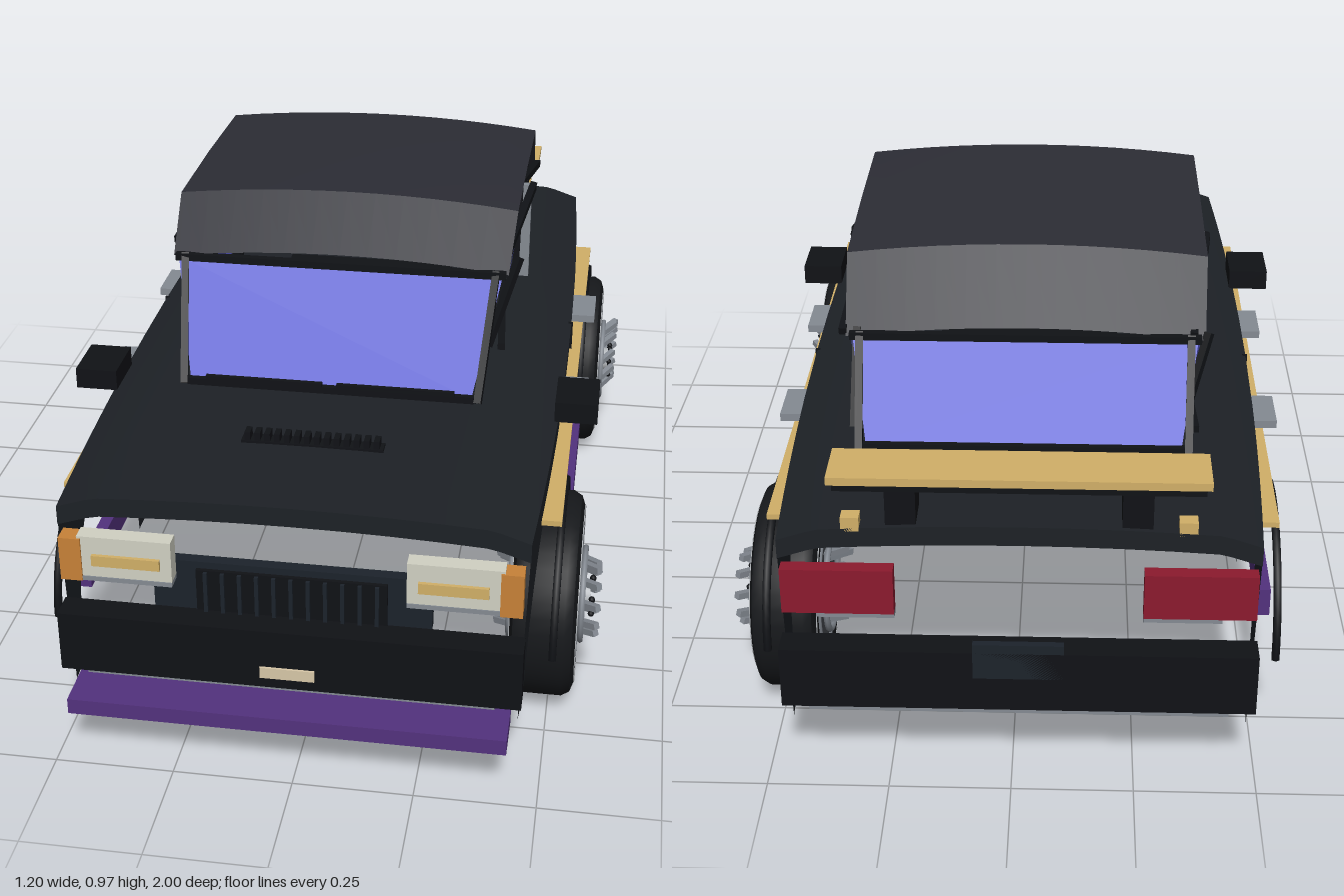
import * as THREE from 'three';
import { toCreasedNormals } from 'three/addons/utils/BufferGeometryUtils.js';

const mat = (color, side = THREE.FrontSide) => new THREE.MeshStandardMaterial({ color, side });
const paint = mat(0x1d2126, THREE.DoubleSide), roofPaint = mat(0x2c2d35, THREE.DoubleSide);
const black = mat(0x101216), panelGrey = mat(0x1c232b), glass = mat(0x5c60d2, THREE.DoubleSide);
const gold = mat(0xd2b068), purple = mat(0x53327e), steel = mat(0x858b93), silver = mat(0xb4b8bc);
const red = mat(0x8c1a2e), amber = mat(0xc88238), lens = mat(0xd2d2c4), cream = mat(0xd8c8a8);
const V = (x, y, z) => new THREE.Vector3(x, y, z);

function add(parent, name, geo, material) {
  const m = new THREE.Mesh(geo, material);
  m.name = name;
  parent.add(m);
  return m;
}

// Box given by its ranges on each axis
function box(parent, name, material, x0, x1, y0, y1, z0, z1) {
  const m = add(parent, name, new THREE.BoxGeometry(Math.abs(x1 - x0), y1 - y0, Math.abs(z1 - z0)), material);
  m.position.set((x0 + x1) / 2, (y0 + y1) / 2, (z0 + z1) / 2);
  return m;
}

// Straight bar between two points
function bar(parent, name, material, a, b, t, depth = t) {
  const m = add(parent, name, new THREE.BoxGeometry(t, depth, a.distanceTo(b) + t * 0.8), material);
  m.position.copy(a).lerp(b, 0.5);
  m.lookAt(b);
  return m;
}

// Surface through rows of points
function loft(rows, crease = 0.35) {
  const n = rows[0].length, idx = [];
  for (let i = 0; i < rows.length - 1; i++)
    for (let j = 0; j < n - 1; j++) {
      const a = i * n + j;
      idx.push(a, a + 1, a + n, a + 1, a + n + 1, a + n);
    }
  const g = new THREE.BufferGeometry().setFromPoints(rows.flat());
  g.setIndex(idx);
  return toCreasedNormals(g, crease);
}

// Pane of glass with a dark frame around it
function framedPane(parent, name, pts, t = 0.016) {
  const g = new THREE.BufferGeometry().setFromPoints(pts);
  g.setIndex([0, 1, 2, 0, 2, 3]);
  g.computeVertexNormals();
  add(parent, name, g, glass);
  pts.forEach((p, i) => bar(parent, name + 'Frame', black, p, pts[(i + 1) % 4], t));
}

const FRONT = 0.89, REAR = -0.94, AXLES = [0.55, -0.594], ARCH = 0.25;
const halfWidth = z => 0.503 - 0.028 * (z / 0.92) ** 2;

// Crowned deck across the car, from -x to +x
function deckRow(z, drop = 0) {
  const w = halfWidth(z);
  const half = [0.1, 0.2, 0.3, 0.39].map(x => [x, 0.59 - 0.08 * x * x]);
  half.push([w - 0.06, 0.572], [w, 0.552]);
  const right = half.map(([x, y]) => V(x, y - drop, z));
  return [...right.map(p => V(-p.x, p.y, z)).reverse(), V(0, 0.59 - drop, z), ...right];
}

function buildShell(car) {
  // Stations along the car with the height of the lower edge, wheel arches cut in
  const stations = [[FRONT, 0.13]];
  for (const c of AXLES) {
    stations.push([c + ARCH + 0.001, 0.13]);
    for (let i = 0; i <= 20; i++) {
      const a = Math.PI * i / 20;
      stations.push([c + ARCH * Math.cos(a), 0.215 + ARCH * Math.sin(a)]);
    }
    stations.push([c - ARCH - 0.001, 0.13]);
    if (c > 0) stations.push([0.1, 0.13], [-0.1, 0.13]);
  }
  stations.push([REAR, 0.13]);
  const rows = stations.map(([z, b]) => {
    const x = halfWidth(z) - 0.03 * (0.552 - b);
    return [V(-x, b, z), ...deckRow(z), V(x, b, z)];
  });
  add(car, 'bodyShell', loft(rows), paint);
  add(car, 'hoodLip', loft([deckRow(FRONT), deckRow(FRONT, 0.042)]), paint);
  add(car, 'trunkLip', loft([deckRow(REAR), deckRow(REAR, 0.042)]), paint);
}

function buildCabin(car) {
  // Crowned roof sheet
  const rows = [[0.28, 0.845, 0.372], [0.16, 0.947, 0.38], [-0.12, 0.945, 0.38], [-0.41, 0.933, 0.38], [-0.53, 0.795, 0.375]]
    .map(([z, y, w]) => Array.from({ length: 13 }, (_, i) => {
      const s = i / 6 - 1;
      return V(s * w, y + 0.023 * (1 - s * s), z);
    }));
  add(car, 'roof', loft(rows, 0.3), roofPaint);
  framedPane(car, 'windshield', [V(-0.36, 0.845, 0.283), V(0.36, 0.845, 0.283), V(0.31, 0.61, 0.42), V(-0.31, 0.61, 0.42)]);
  framedPane(car, 'rearWindow', [V(-0.36, 0.80, -0.535), V(0.36, 0.80, -0.535), V(0.325, 0.61, -0.665), V(-0.325, 0.61, -0.665)]);
  for (const s of [-1, 1]) {
    const side = (z, y) => V(s * (0.34 + 0.15 * (y - 0.63)), y, z);
    framedPane(car, 'frontSideWindow', [side(0.25, 0.66), side(0.18, 0.842), side(-0.16, 0.88), side(-0.16, 0.655)]);
    framedPane(car, 'rearSideWindow', [side(-0.18, 0.655), side(-0.18, 0.88), side(-0.52, 0.805), side(-0.605, 0.63)]);
    box(car, 'doorPillar', steel, s * 0.366, s * 0.39, 0.65, 0.885, -0.175, -0.158);
    bar(car, 'wiper', black, V(s * 0.02, 0.622, 0.425), V(s * 0.27, 0.622, 0.425), 0.01);
  }
  box(car, 'dashboard', black, -0.27, 0.27, 0.63, 0.675, 0.15, 0.3);
  box(car, 'seat', black, -0.2, 0.2, 0.575, 0.648, -0.21, 0);
}

function buildSides(car) {
  for (const s of [-1, 1]) {
    box(car, 'sideSkirt', purple, s * 0.508, s * 0.535, 0.175, 0.24, -0.62, 0.62);
    box(car, 'mirror', black, s * 0.49, s * 0.583, 0.553, 0.6, 0.265, 0.39);
    box(car, 'doorSeam', black, s * 0.495, s * 0.506, 0.25, 0.555, -0.115, -0.108);
    box(car, 'sideMoulding', black, s * 0.49, s * 0.51, 0.38, 0.392, -0.38, 0.34);
    box(car, 'pinstripe', gold, s * 0.48, s * 0.527, 0.474, 0.486, -0.74, 0.69);
    for (const z of [0.156, -0.3])
      box(car, 'doorHandle', steel, s * 0.495, s * 0.555, 0.497, 0.515, z - 0.06, z + 0.06);
    for (const z of AXLES) {
      const trim = add(car, 'archTrim', new THREE.TorusGeometry(ARCH - 0.002, 0.009, 6, 32, Math.PI), black);
      trim.position.set(s * 0.525, 0.22, z);
      trim.rotation.y = Math.PI / 2;
    }
  }
}

function buildFront(car) {
  box(car, 'frontBumper', black, -0.473, 0.473, 0.2, 0.335, 0.89, 0.95);
  box(car, 'frontBumperStrip', steel, -0.42, 0.42, 0.188, 0.2, 0.9, 0.94);
  box(car, 'frontSplitter', purple, -0.45, 0.45, 0.125, 0.16, 0.89, 1);
  box(car, 'frontPlate', cream, -0.056, 0.056, 0.225, 0.25, 0.945, 0.955);
  box(car, 'grillePanel', panelGrey, -0.285, 0.285, 0.33, 0.445, 0.86, 0.885);
  box(car, 'grille', black, -0.195, 0.195, 0.33, 0.43, 0.88, 0.893);
  for (let i = 0; i < 11; i++) {
    const x = -0.175 + i * 0.035;
    box(car, 'grilleSlat', panelGrey, x - 0.004, x + 0.004, 0.335, 0.427, 0.89, 0.9);
  }
  for (const s of [-1, 1]) {
    box(car, 'headlight', lens, s * 0.237, s * 0.43, 0.413, 0.505, 0.885, 0.92);
    box(car, 'headlightTrim', steel, s * 0.237, s * 0.43, 0.403, 0.413, 0.885, 0.922);
    box(car, 'headlightBar', gold, s * 0.26, s * 0.4, 0.442, 0.466, 0.915, 0.928);
    box(car, 'turnSignal', amber, s * 0.422, s * 0.467, 0.402, 0.5, 0.885, 0.924);
  }
  // Hood vent
  box(car, 'hoodVent', black, -0.15, 0.15, 0.585, 0.594, 0.61, 0.642);
  for (let i = 0; i < 14; i++) {
    const x = -0.137 + i * 0.021;
    box(car, 'hoodVentFin', black, x - 0.006, x + 0.006, 0.59, 0.612, 0.613, 0.64);
  }
}

function buildRear(car) {
  box(car, 'rearBumper', black, -0.473, 0.473, 0.2, 0.335, -1, -0.94);
  box(car, 'rearBumperStrip', steel, -0.42, 0.42, 0.185, 0.2, -0.99, -0.95);
  box(car, 'rearPlatePanel', panelGrey, -0.09, 0.09, 0.275, 0.355, -1.0, -0.985);
  for (const s of [-1, 1]) {
    box(car, 'tailLight', red, s * 0.245, s * 0.467, 0.4, 0.5, -0.965, -0.935);
    box(car, 'tailLightTrim', steel, s * 0.245, s * 0.4, 0.388, 0.4, -0.96, -0.935);
    box(car, 'spoilerPost', black, s * 0.2, s * 0.26, 0.58, 0.67, -0.93, -0.85);
    box(car, 'deckLamp', gold, s * 0.31, s * 0.346, 0.575, 0.605, -0.94, -0.91);
  }
  box(car, 'spoilerBase', black, -0.36, 0.36, 0.662, 0.68, -0.935, -0.82);
  box(car, 'spoiler', gold, -0.37, 0.37, 0.68, 0.697, -0.945, -0.83);
}

function buildWheel(z) {
  const wheel = new THREE.Group();
  wheel.name = 'wheel';
  wheel.position.set(0.485, 0.222, z);
  // Tyre, turned around the x axis
  const half = [[0.135, 0.06], [0.15, 0.068], [0.19, 0.07], [0.212, 0.062], [0.222, 0.045]];
  const profile = [...half.map(([r, x]) => new THREE.Vector2(r, -x)), ...half.map(([r, x]) => new THREE.Vector2(r, x)).reverse()];
  add(wheel, 'tyre', toCreasedNormals(new THREE.LatheGeometry(profile, 40), 0.6), mat(0x16181b, THREE.DoubleSide)).rotation.z = -Math.PI / 2;
  const disc = (name, r, x, h, m) => {
    const d = add(wheel, name, new THREE.CylinderGeometry(r, r, h, 32), m);
    d.rotation.z = Math.PI / 2;
    d.position.x = x;
  };
  const ring = (name, r, t, x, m) => {
    const o = add(wheel, name, new THREE.TorusGeometry(r, t, 6, 40), m);
    o.rotation.y = Math.PI / 2;
    o.position.x = x;
  };
  disc('rimBarrel', 0.137, 0, 0.125, black);
  for (const s of [-1, 1]) {
    ring('rimLip', 0.134, 0.009, s * 0.063, steel);
    ring('sidewallLine', 0.19, 0.0025, s * 0.069, silver);
    ring('rimRing', 0.1, 0.007, s * 0.077, steel);
    disc('rimDish', 0.128, s * 0.06, 0.012, mat(0x4a4e54));
    disc('hubCap', 0.03, s * 0.08, 0.026, silver);
    for (let i = 0; i < 10; i++) {
      const a = i * Math.PI / 5, c = Math.cos(a), n = Math.sin(a);
      bar(wheel, 'spoke', steel, V(s * 0.08, 0.025 * c, 0.025 * n), V(s * 0.066, 0.128 * c, 0.128 * n), 0.014);
      if (i % 2) continue;
      const lug = add(wheel, 'lugNut', new THREE.SphereGeometry(0.007, 8, 6), black);
      lug.position.set(s * 0.097, 0.042 * c, 0.042 * n);
    }
  }
  return wheel;
}

export function createModel() {
  const model = new THREE.Group();
  model.name = 'car';
  const car = new THREE.Group();
  car.name = 'body';
  car.position.x = -0.015;
  [buildShell, buildCabin, buildSides, buildFront, buildRear].forEach(build => build(car));
  model.add(car);
  // Wheels stand on the left side only
  AXLES.forEach(z => model.add(buildWheel(z)));
  return model;
}
